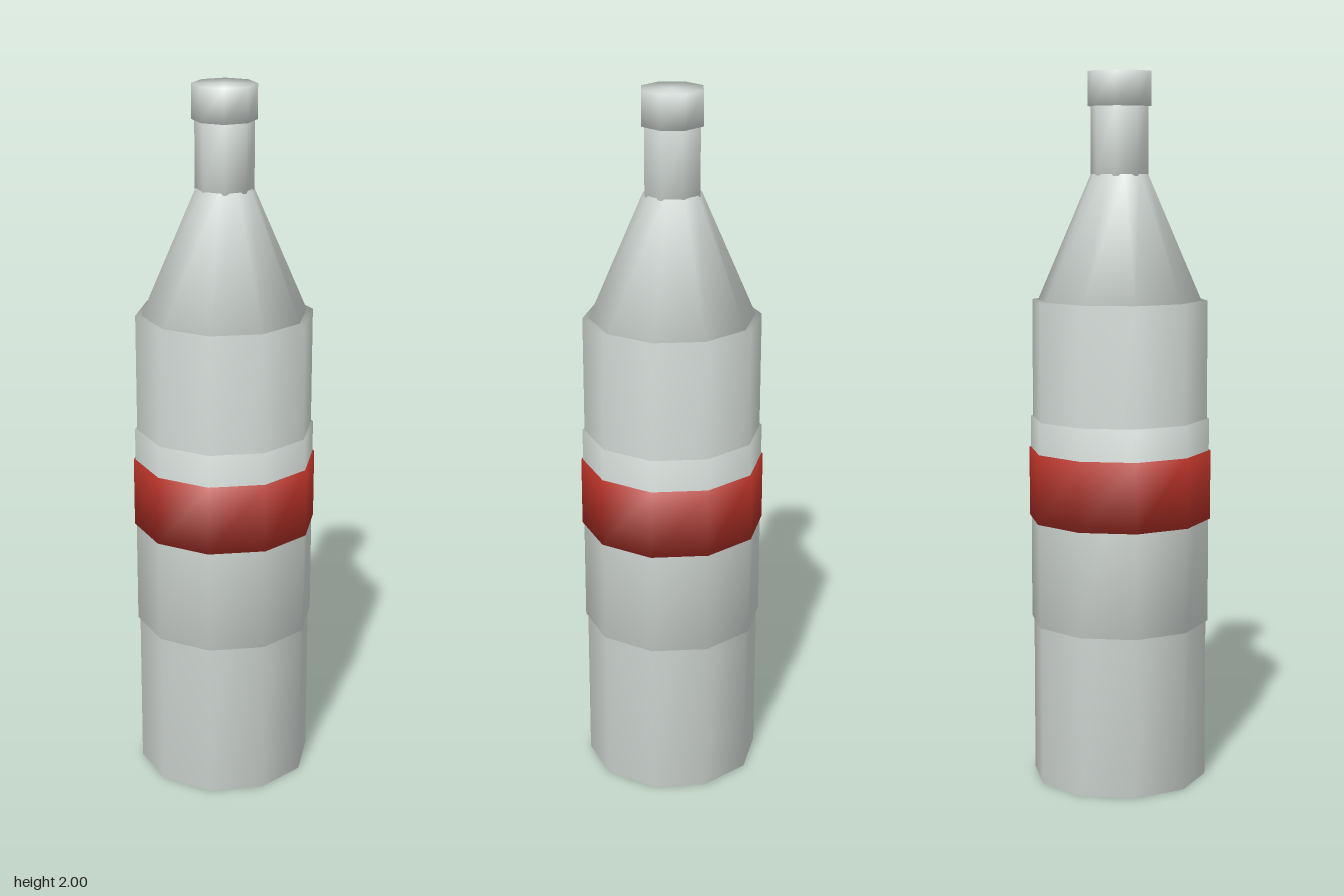
import * as THREE from 'three';
import { mergeVertices } from 'three/addons/utils/BufferGeometryUtils.js';

// Closed drum whose sides and caps share smooth normals
function smoothDrum(bottomRadius, topRadius, y0, y1, sides) {
  const geometry = new THREE.CylinderGeometry(topRadius, bottomRadius, y1 - y0, sides);
  geometry.deleteAttribute('normal');
  geometry.deleteAttribute('uv');
  geometry.clearGroups();
  const welded = mergeVertices(geometry, 1e-4);
  welded.computeVertexNormals();
  welded.translate(0, (y0 + y1) / 2, 0);
  return welded;
}

export function createModel() {
  const paleGrey = new THREE.MeshStandardMaterial({ color: 0xd0d7d3 });
  paleGrey.name = 'pale grey';
  const red = new THREE.MeshStandardMaterial({ color: 0xb03026 });
  red.name = 'red';

  // name, bottom radius, top radius, bottom y, top y, sides, material
  const parts = [
    ['body', 0.248, 0.248, 0, 1.37, 10, paleGrey],
    ['label', 0.254, 0.254, 0.455, 1.038, 10, paleGrey],
    ['labelStripe', 0.259, 0.259, 0.752, 0.948, 10, red],
    ['shoulder', 0.233, 0.08, 1.365, 1.72, 10, paleGrey],
    ['neck', 0.081, 0.081, 1.715, 1.91, 8, paleGrey],
    ['cap', 0.089, 0.089, 1.905, 2, 8, paleGrey],
  ];

  const bottle = new THREE.Group();
  bottle.name = 'bottle';
  for (const [name, r0, r1, y0, y1, sides, material] of parts) {
    const mesh = new THREE.Mesh(smoothDrum(r0, r1, y0, y1, sides), material);
    mesh.name = name;
    bottle.add(mesh);
  }
  return bottle;
}
